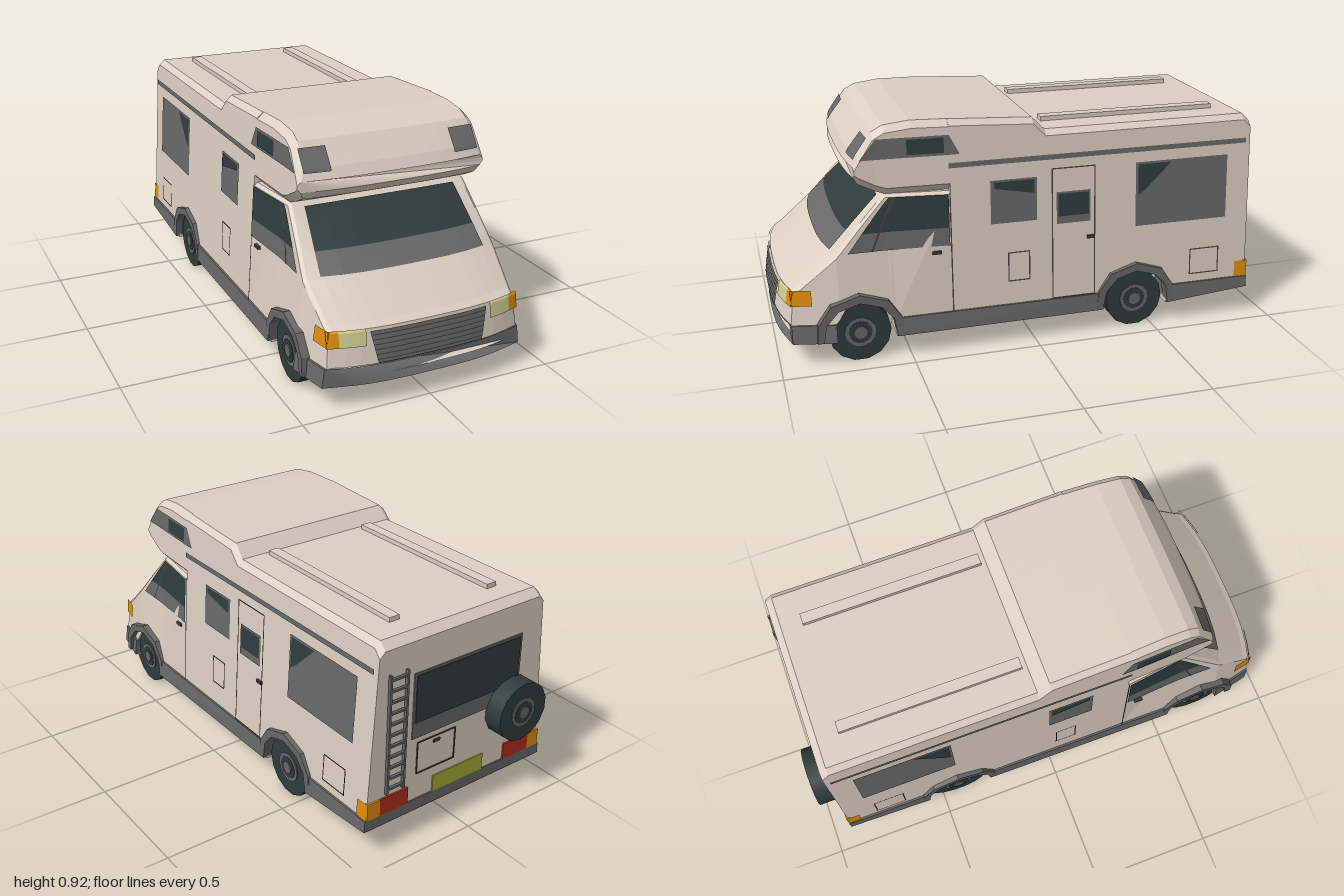
import * as THREE from 'three';

const mat = (name, color) => {
  const m = new THREE.MeshStandardMaterial({ color });
  m.name = name;
  return m;
};

// Piecewise linear lookup in [[t, value], ...]
function interp(list, t) {
  if (t <= list[0][0]) return list[0][1];
  for (let i = 1; i < list.length; i++) {
    const [a, va] = list[i - 1], [b, vb] = list[i];
    if (t <= b) return va + (vb - va) * (t - a) / (b - a);
  }
  return list[list.length - 1][1];
}
const ramp = (t, a, b) => Math.min(1, Math.max(0, (t - a) / (b - a)));

// Half widths of the living box and cab, and the rounding of the nose in plan
const wBox = (z, y) => 0.432 - 0.065 * (y - 0.1) - 0.012 * ramp(z, 0.33, 0.6);
const wCab = (z, y) => 0.432 - 0.065 * (y - 0.1)
  - 0.067 * (y - 0.165) * ramp(z, 0.33, 0.575) - 0.04 * ramp(z, 0.82, 1);
const bow = (x, z) => 0.05 * Math.min(1, Math.abs(x) / 0.39) ** 3 * ramp(z, 0.575, 0.82);

const wheelZ = [0.695, -0.425];
const archSteps = [-0.14, -0.09, 0, 0.09, 0.14];
const archLine = [[0, 0.255], [0.09, 0.228], [0.14, 0.165]];
const sill = z => Math.max(...wheelZ.map(c => interp(archLine, Math.abs(z - c))));
const boxRoof = [[-0.915, 0.82], [-0.885, 0.85], [-0.05, 0.85], [0, 0.9], [0.33, 0.917]];
const cabRoof = [[0.33, 0.645], [0.575, 0.645], [0.82, 0.43], [0.955, 0.315], [0.98, 0.3], [0.99, 0.24], [1, 0.17]];
const alcove = [[0.33, 0.645, 0.917], [0.47, 0.645, 0.92], [0.57, 0.645, 0.908], [0.62, 0.66, 0.885], [0.69, 0.69, 0.8], [0.712, 0.72, 0.76]];
// Front surface depth by height: nose, windscreen, then alcove
const frontLine = [...cabRoof.slice(1).map(([z, y]) => [y, z]).reverse(), [0.76, 0.712], [0.8, 0.69], [0.885, 0.62]];

function geometryFrom(triangles) {
  const g = new THREE.BufferGeometry();
  g.setAttribute('position', new THREE.Float32BufferAttribute(triangles.flat(), 3));
  g.computeVertexNormals();
  return g;
}

// Closed body through stations [z, bottom, top], with bevelled long edges
function loft(stations, width, bevel = 0, lowBevel = 0) {
  const cols = 14, rings = [];
  for (const [z, yb, yt] of stations) {
    const c = Math.min(bevel, (yt - yb) / 3), d = Math.min(lowBevel, (yt - yb) / 3), ring = [];
    const add = (x, y) => ring.push([x, y, z - bow(x, z)]);
    const top = width(z, yt) - c, low = width(z, yb) - d;
    for (let i = 0; i <= cols; i++) add(top * (2 * i / cols - 1), yt);
    add(width(z, yt - c), yt - c);
    add(width(z, yb + d), yb + d);
    for (let i = cols; i >= 0; i--) add(low * (2 * i / cols - 1), yb);
    add(-width(z, yb + d), yb + d);
    add(-width(z, yt - c), yt - c);
    rings.push(ring);
  }
  const out = [], n = rings[0].length;
  for (let r = 1; r < rings.length; r++) {
    const a = rings[r - 1], b = rings[r];
    for (let i = 0; i < n; i++) {
      const j = (i + 1) % n;
      out.push(a[i], b[i], b[j], a[i], b[j], a[j]);
    }
  }
  const back = rings[0], front = rings[rings.length - 1];
  for (let i = 1; i < n - 1; i++) out.push(back[0], back[i], back[i + 1], front[0], front[i + 1], front[i]);
  return geometryFrom(out);
}

// Thin panel: four 2D corners, subdivided and laid on a surface by map
function patch(corners, map, flip = false, n = 8) {
  const [a, b, c, d] = corners, out = [];
  const at = (i, j) => {
    const u = i / n, v = j / n;
    const p = k => (a[k] * (1 - u) + b[k] * u) * (1 - v) + (d[k] * (1 - u) + c[k] * u) * v;
    return map(p(0), p(1));
  };
  for (let i = 0; i < n; i++) for (let j = 0; j < n; j++) {
    const q = [at(i, j), at(i + 1, j), at(i + 1, j + 1), at(i, j + 1)];
    for (const k of flip ? [0, 2, 1, 0, 3, 2] : [0, 1, 2, 0, 2, 3]) out.push(q[k]);
  }
  return geometryFrom(out);
}
const rect = (u0, u1, v0, v1) => [[u0, v0], [u1, v0], [u1, v1], [u0, v1]];

export function createModel() {
  const model = new THREE.Group();
  model.name = 'camperVan';
  const body = mat('cream body', 0xdccfc2), trim = mat('grey trim', 0x686868);
  const dark = mat('dark rubber and glass', 0x2f3c3c), seam = mat('seam', 0x453f3b);
  const amber = mat('amber lamp', 0xe08e0b), lamp = mat('headlamp', 0xcfcd93);
  const red = mat('red lamp', 0xb32c1e), plate = mat('yellow plate', 0xa3ab33);

  const add = (name, geo, m, parent = model) => {
    const mesh = new THREE.Mesh(geo, m);
    mesh.name = name;
    parent.add(mesh);
    return mesh;
  };
  const box = (name, m, w, h, d, x, y, z) =>
    add(name, new THREE.BoxGeometry(w, h, d), m).position.set(x, y, z);
  const front = (name, m, corners, lift = 0.006) =>
    add(name, patch(corners, (x, y) => {
      const z = interp(frontLine, y);
      return [x, y, z - bow(x, z) + lift];
    }), m);
  const side = (name, m, s, corners, width = wBox, lift = 0.004) =>
    add(name, patch(corners, (z, y) => {
      const x = width(z, y);
      return [s * (x + lift), y, z - bow(x, z)];
    }, s < 0), m);
  const sideFrame = (name, s, z0, z1, y0, y1, t = 0.005) => {
    side(name, seam, s, rect(z0, z1, y0, y0 + t));
    side(name, seam, s, rect(z0, z1, y1 - t, y1));
    side(name, seam, s, rect(z0, z0 - t, y0, y1));
    side(name, seam, s, rect(z1 + t, z1, y0, y1));
  };

  // Body shells
  const shell = (zs, roof) => zs.map(z => [z, sill(z), interp(roof, z)]);
  add('livingBox', loft(shell([-0.915, -0.885, ...archSteps.map(d => wheelZ[1] + d), -0.05, 0, 0.2, 0.33], boxRoof), wBox, 0.022), body);
  add('cab', loft(shell([0.33, ...archSteps.map(d => wheelZ[0] + d), 0.575, 0.82, 0.9, 0.955, 0.98, 0.99, 1].sort((a, b) => a - b), cabRoof), wCab, 0.012), body);
  add('alcove', loft(alcove, wBox, 0.025, 0.03), body);

  // Skirt, bumpers and floor
  const wSkirt = (z, y) => wCab(z, y) + 0.008;
  add('frontBumper', loft([[0.835, 0.095, 0.166], [0.92, 0.095, 0.166], [1, 0.095, 0.166]], wSkirt), trim);
  add('sideSkirt', loft([[-0.285, 0.095, 0.166], [0.555, 0.095, 0.166]], wSkirt), trim);
  add('rearSkirt', loft([[-0.92, 0.12, 0.166], [-0.565, 0.092, 0.166]], wSkirt), trim);
  const wFloor = (z, y) => wCab(z, y) - 0.008;
  add('midFloor', loft([[-0.285, 0.088, 0.12], [0.555, 0.088, 0.12]], wFloor), body);
  add('rearFloor', loft([[-0.915, 0.114, 0.14], [-0.565, 0.085, 0.12]], wFloor), body);
  add('frontFloor', loft([[0.835, 0.09, 0.12], [0.985, 0.09, 0.12]], wFloor), body);
  add('chassis', loft([[-0.6, 0.088, 0.27], [0.85, 0.088, 0.27]], () => 0.31), body);

  // Wheels and arch flares
  const wheel = name => {
    const g = new THREE.Group();
    g.name = name;
    add('tyre', new THREE.CylinderGeometry(0.12, 0.12, 0.092, 14), dark, g);
    add('rim', new THREE.CylinderGeometry(0.06, 0.066, 0.1, 14), trim, g);
    add('rimDish', new THREE.CylinderGeometry(0.045, 0.045, 0.104, 14), dark, g);
    add('hub', new THREE.CylinderGeometry(0.026, 0.03, 0.112, 10), trim, g);
    model.add(g);
    return g;
  };
  const inner = [[-0.14, 0.1], [-0.128, 0.17], [-0.082, 0.222], [0, 0.247], [0.082, 0.222], [0.128, 0.17], [0.14, 0.1]];
  const outer = [[0.165, 0.1], [0.16, 0.172], [0.11, 0.245], [0, 0.28], [-0.11, 0.245], [-0.16, 0.172], [-0.165, 0.1]];
  for (const s of [1, -1]) for (const z of wheelZ) {
    const w = wheel('wheel');
    w.rotation.z = -s * Math.PI / 2;
    w.position.set(s * 0.369, 0.12, z);
    const flare = new THREE.ExtrudeGeometry(
      new THREE.Shape([...inner, ...outer].map(p => new THREE.Vector2(...p))), { depth: 0.045, bevelEnabled: false });
    flare.rotateY(-Math.PI / 2);
    add('archFlare', flare, trim).position.set(s * 0.4175 + 0.0225, 0, z);
  }
  const spare = wheel('spareWheel');
  spare.rotation.x = -Math.PI / 2;
  spare.position.set(-0.25, 0.408, -0.952);
  spare.scale.set(1, 0.86, 1);

  // Windscreen, grille and front lamps
  front('windscreenLower', trim, [[-0.335, 0.437], [0.335, 0.437], [0.327, 0.505], [-0.327, 0.505]]);
  front('windscreenUpper', dark, [[-0.327, 0.505], [0.327, 0.505], [0.31, 0.63], [-0.31, 0.63]]);
  front('grille', trim, [[-0.21, 0.175], [0.21, 0.175], [0.235, 0.292], [-0.235, 0.292]]);
  for (let i = 0; i < 6; i++) {
    const y = 0.187 + i * 0.018, w = 0.212 + i * 0.0035;
    front('grilleSlot', seam, rect(-w, w, y, y + 0.004), 0.009);
  }

  for (const s of [1, -1]) {
    const across = (a, b, y0, y1) => rect(Math.min(s * a, s * b), Math.max(s * a, s * b), y0, y1);
    front('headlamp', lamp, across(0.25, 0.345, 0.243, 0.303), 0.008);
    front('frontIndicator', amber, across(0.345, 0.388, 0.243, 0.303), 0.008);
    side('sideIndicator', amber, s, rect(0.992, 0.92, 0.243, 0.303), wCab, 0.007);
    front('alcoveFrontWindow', trim, across(0.25, 0.353, 0.787, 0.865), 0.006);
    side('alcoveSideWindow', trim, s, [[0.685, 0.787], [0.29, 0.787], [0.33, 0.863], [0.61, 0.863]]);
    side('alcoveSidePane', dark, s, rect(0.49, 0.35, 0.797, 0.855), wBox, 0.006);

    // Cab door glass and seams
    side('cabWindowLower', trim, s, [[0.765, 0.435], [0.338, 0.435], [0.338, 0.505], [0.693, 0.505]], wCab, 0.006);
    side('cabWindowUpper', dark, s, [[0.693, 0.505], [0.338, 0.505], [0.338, 0.635], [0.56, 0.635]], wCab, 0.006);
    side('quarterLightBar', seam, s, [[0.655, 0.435], [0.645, 0.435], [0.535, 0.635], [0.545, 0.635]], wCab, 0.008);
    side('cabDoorSeam', seam, s, rect(0.335, 0.33, 0.166, 0.64));
    box('cabDoorHandle', seam, 0.012, 0.012, 0.035, s * 0.414, 0.41, 0.39);

    // Living area windows, stripe and lockers
    side('waistStripe', trim, s, rect(0.335, -0.895, 0.735, 0.755));
    side('frontSideWindow', trim, s, rect(0.175, -0.01, 0.5, 0.672));
    side('frontSideGlint', dark, s, [[0.16, 0.64], [0, 0.61], [0, 0.665], [0.16, 0.665]], wBox, 0.006);
    side('rearSideWindow', trim, s, rect(-0.42, -0.815, 0.432, 0.693));
    side('rearSideGlint', dark, s, [[-0.43, 0.56], [-0.46, 0.58], [-0.57, 0.685], [-0.43, 0.685]], wBox, 0.006);
    sideFrame('frontLocker', s, 0.11, 0.02, 0.26, 0.38);
    sideFrame('rearLocker', s, -0.66, -0.79, 0.2, 0.31);

    // Tail lamps and roof rails
    box('tailLamp', red, 0.13, 0.068, 0.016, s * 0.305, 0.2, -0.914);
    box('rearIndicator', amber, 0.057, 0.068, 0.016, s * 0.3985, 0.2, -0.914);
    side('rearSideIndicator', amber, s, rect(-0.865, -0.918, 0.166, 0.234));
    box('roofRail', body, 0.045, 0.022, 0.73, s * 0.23, 0.857, -0.435);
  }

  // Entrance door
  sideFrame('entranceDoor', 1, -0.07, -0.25, 0.167, 0.7);
  side('entranceWindow', trim, 1, rect(-0.09, -0.23, 0.475, 0.603));
  side('entrancePane', dark, 1, rect(-0.097, -0.223, 0.505, 0.596), wBox, 0.006);
  box('entranceHandle', seam, 0.014, 0.012, 0.03, 0.415, 0.41, -0.232);

  // Rear wall: window, hatch, plate and ladder
  box('rearWindow', trim, 0.52, 0.265, 0.008, -0.03, 0.562, -0.915);
  box('rearWindowPane', dark, 0.5, 0.19, 0.008, -0.03, 0.59, -0.918);
  box('numberPlate', plate, 0.25, 0.068, 0.012, -0.005, 0.2, -0.914);
  for (const y of [0.275, 0.405]) box('rearHatchSeam', seam, 0.18, 0.005, 0.006, 0.11, y, -0.915);
  for (const x of [0.02, 0.2]) box('rearHatchSeam', seam, 0.005, 0.13, 0.006, x, 0.34, -0.915);
  box('rearHatchLatch', seam, 0.03, 0.012, 0.01, 0.11, 0.385, -0.915);
  for (const x of [0.27, 0.345]) box('ladderRail', trim, 0.009, 0.48, 0.012, x, 0.49, -0.926);
  for (let i = 0; i < 11; i++) box('ladderRung', trim, 0.075, 0.009, 0.01, 0.3075, 0.27 + i * 0.044, -0.926);

  return model;
}
